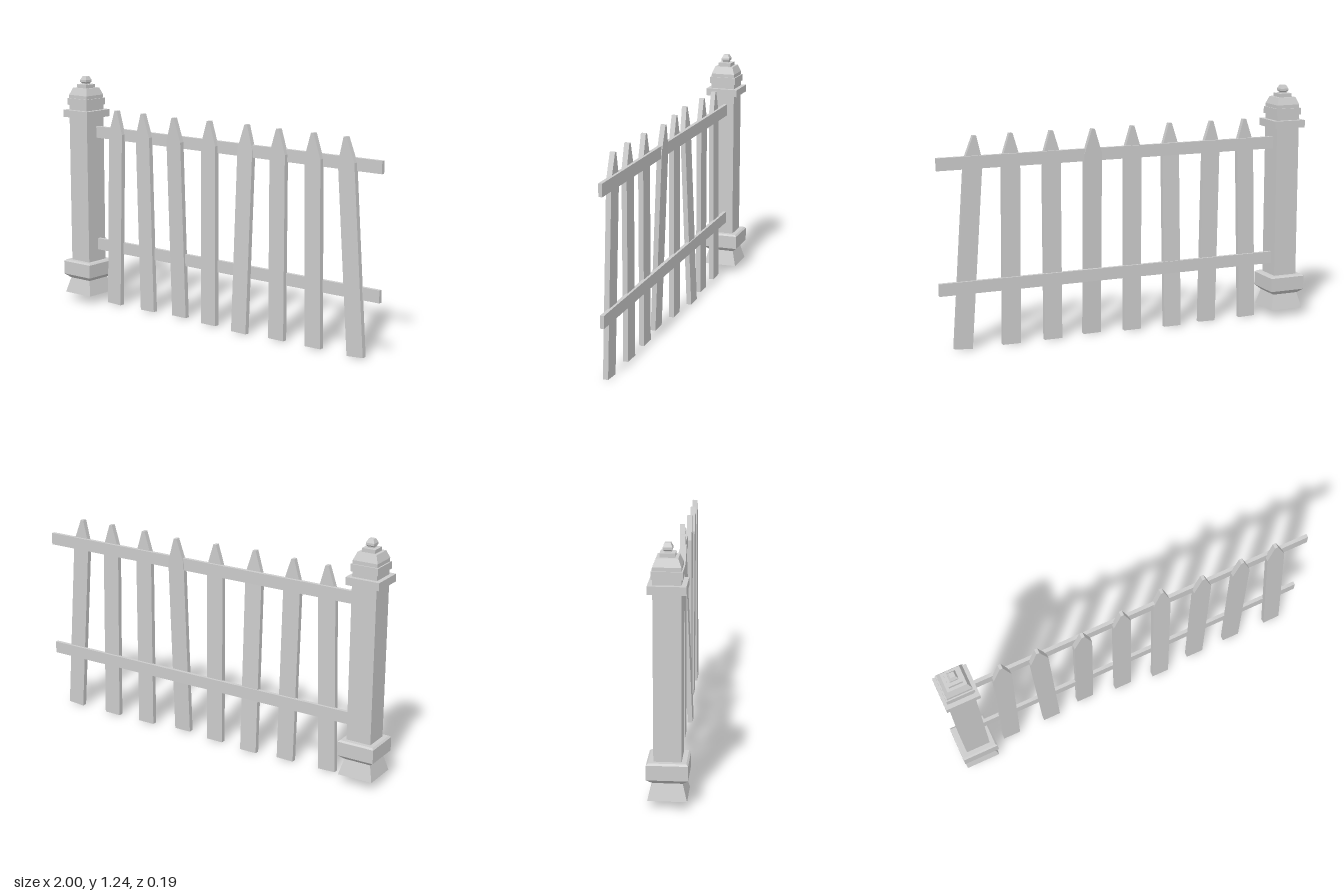
import * as THREE from 'three';

const material = new THREE.MeshStandardMaterial({ color: 0xcccccc, flatShading: true });

function addMesh(parent, name, geometry) {
  const mesh = new THREE.Mesh(geometry, material);
  mesh.name = name;
  parent.add(mesh);
  return mesh;
}

// Square turned part: profile of [half width, height], closed on the axis
function squareTurned(profile) {
  const r = Math.SQRT2;
  const points = [[0, profile[0][1]], ...profile, [0, profile[profile.length - 1][1]]]
    .map(([half, y]) => new THREE.Vector2(half * r, y));
  return new THREE.LatheGeometry(points, 4, Math.PI / 4);
}

// Pointed board centred on its own middle
const PICKET_HEIGHT = 1.07;
function picketGeometry() {
  const h = PICKET_HEIGHT / 2, w = 0.047, tip = 0.008, depth = 0.026;
  const shape = new THREE.Shape([
    [-w, -h], [w, -h], [w, h - 0.125], [tip, h], [-tip, h], [-w, h - 0.125],
  ].map(([x, y]) => new THREE.Vector2(x, y)));
  const geometry = new THREE.ExtrudeGeometry(shape, { depth, bevelEnabled: false });
  return geometry.translate(0, 0, -depth / 2);
}

export function createModel() {
  const model = new THREE.Group();
  model.name = 'picketFence';

  // Post
  const post = new THREE.Group();
  post.name = 'post';
  post.position.x = -0.903;
  model.add(post);
  const postParts = {
    postFoot: [[0.092, 0.042], [0.07, 0.125]],
    postBase: [[0.07, 0.123], [0.097, 0.146], [0.097, 0.218], [0.088, 0.226]],
    postShaft: [[0.065, 0.22], [0.065, 1.03]],
    postCollar: [[0.088, 1.023], [0.088, 1.062]],
    postCap: [[0.065, 1.06], [0.065, 1.089], [0.072, 1.089], [0.072, 1.125],
      [0.065, 1.125], [0.065, 1.143], [0.05, 1.181], [0.035, 1.181], [0.035, 1.2]],
    postFinial: [[0.015, 1.198], [0.015, 1.206], [0.022, 1.213], [0.022, 1.224], [0.013, 1.243]],
  };
  for (const [name, profile] of Object.entries(postParts)) {
    addMesh(post, name, squareTurned(profile));
  }

  // Rails behind the pickets
  for (const [name, y] of [['lowerRail', 0.32], ['upperRail', 0.943]]) {
    addMesh(model, name, new THREE.BoxGeometry(1.84, 0.063, 0.019)).position.set(0.08, y, -0.0165);
  }

  // Pickets: bottom x, tip x, lean towards the front
  const pickets = [
    [-0.703, -0.674, 0], [-0.463, -0.484, 0.006], [-0.254, -0.254, 0.04], [-0.035, -0.035, 0],
    [0.182, 0.19, -0.042], [0.404, 0.404, 0], [0.628, 0.615, 0.005], [0.88, 0.802, 0],
  ];
  const board = picketGeometry();
  pickets.forEach(([bottom, top, lean], i) => {
    const picket = addMesh(model, `picket${i + 1}`, board);
    picket.position.set((bottom + top) / 2, 0.004 + PICKET_HEIGHT / 2, 0);
    picket.rotation.set(lean, 0, Math.asin((bottom - top) / PICKET_HEIGHT));
  });

  return model;
}
